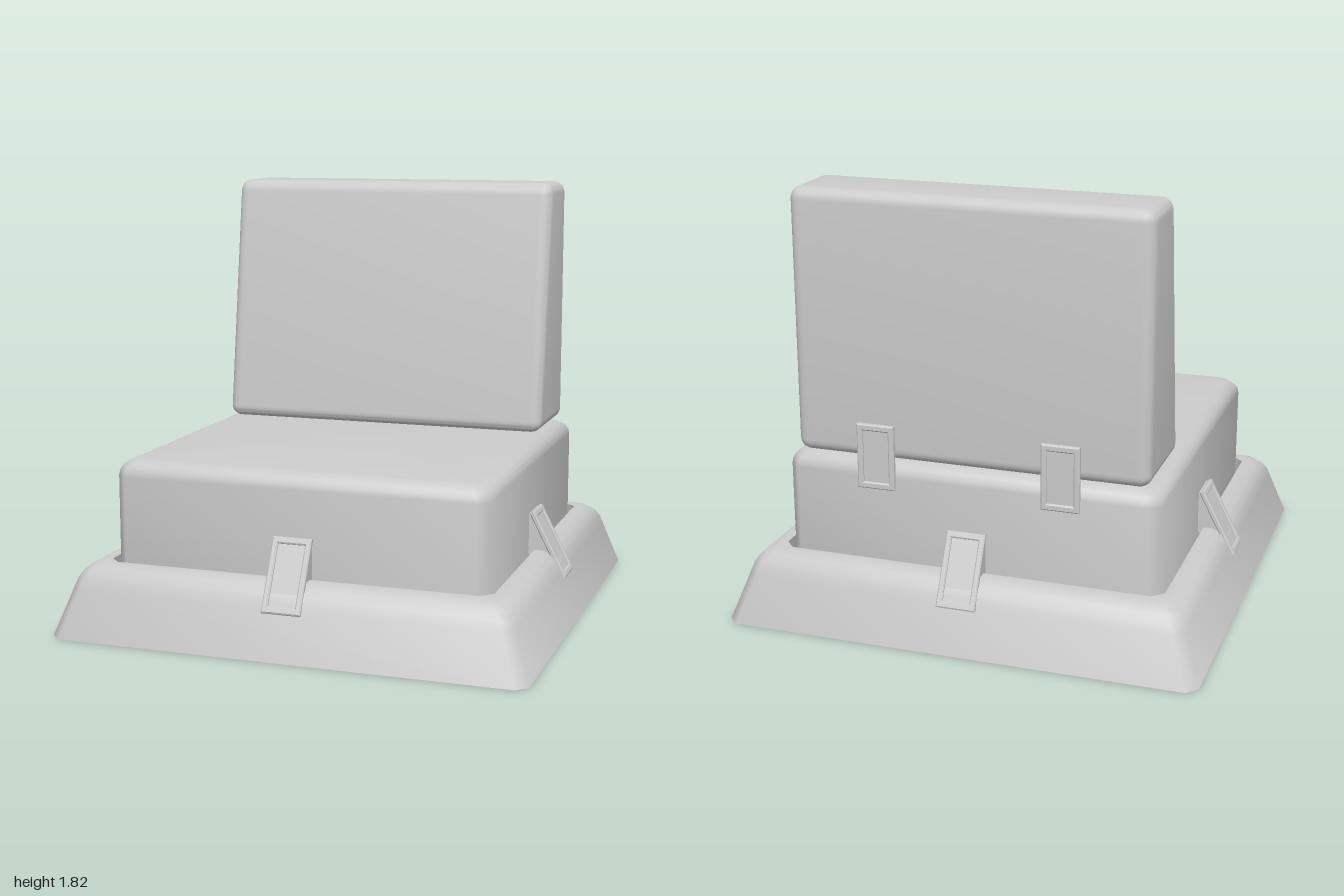
import * as THREE from 'three';
import { toCreasedNormals } from 'three/addons/utils/BufferGeometryUtils.js';
import { RoundedBoxGeometry } from 'three/addons/geometries/RoundedBoxGeometry.js';

const material = new THREE.MeshStandardMaterial({ color: 0xcccccc });

function part(name, geometry, parent) {
  const mesh = new THREE.Mesh(geometry, material);
  mesh.name = name;
  parent.add(mesh);
  return mesh;
}

// Square with cut corners: half size h, height y, corner cut c
function ring([h, y, c]) {
  const k = h - c;
  return [[h, -k], [h, k], [k, h], [-k, h], [-h, k], [-h, -k], [-k, -h], [k, -h]]
    .map(([x, z]) => new THREE.Vector3(x, y, z));
}

// Skin a stack of square rings, listed from the underside up the outside
function loftSquare(profile) {
  const rings = profile.map(ring);
  const pos = [];
  const tri = (...p) => {
    if (new THREE.Triangle(...p).getArea() > 1e-9) p.forEach(v => pos.push(v.x, v.y, v.z));
  };
  for (let i = 0; i < rings.length - 1; i++) {
    for (let j = 0; j < 8; j++) {
      const n = (j + 1) % 8;
      const a = rings[i][j], b = rings[i][n], c = rings[i + 1][n], d = rings[i + 1][j];
      tri(a, d, c);
      tri(a, c, b);
    }
  }
  const g = new THREE.BufferGeometry();
  g.setAttribute('position', new THREE.Float32BufferAttribute(pos, 3));
  return toCreasedNormals(g, 0.9);
}

// Quarter-round edge between a side wall and a top
function roundEdge(h, y, r, c, steps = 5) {
  return Array.from({ length: steps + 1 }, (_, i) => {
    const a = (i / steps) * Math.PI / 2;
    return [h - r + r * Math.cos(a), y - r + r * Math.sin(a), c];
  });
}

function rect(path, w, h) {
  path.moveTo(-w / 2, -h / 2);
  path.lineTo(w / 2, -h / 2);
  path.lineTo(w / 2, h / 2);
  path.lineTo(-w / 2, h / 2);
  path.closePath();
  return path;
}

// Clip plate: raised frame around a sunken panel, facing +z, back at z = 0
function clipPlate(w, h, depth) {
  const group = new THREE.Group();
  const bevel = 0.005;
  const frame = rect(new THREE.Shape(), w - 2 * bevel, h - 2 * bevel);
  frame.holes.push(rect(new THREE.Path(), w - 0.04, h - 0.045));
  const g = new THREE.ExtrudeGeometry(frame, {
    depth: depth - 2 * bevel, bevelEnabled: true, bevelSize: bevel, bevelThickness: bevel, bevelSegments: 1,
  });
  part('clipFrame', g.translate(0, 0, bevel), group);
  part('clipPanel', new THREE.BoxGeometry(w - 0.03, h - 0.03, depth * 0.45), group).position.z = depth * 0.3;
  return group;
}

// Slanted clip that bridges the base rim and the cushion on the +z side
function baseClip() {
  const group = new THREE.Group();
  const plate = clipPlate(0.165, 0.31, 0.022);
  plate.name = 'clipPlate';
  plate.rotation.x = -0.478;
  plate.position.set(0, 0.314, 0.864);
  group.add(plate);

  const side = new THREE.Shape([[0.78, 0.45], [0.8, 0.452], [0.935, 0.198], [0.9, 0.2], [0.78, 0.28]]
    .map(([z, y]) => new THREE.Vector2(z, y)));
  const wedge = new THREE.ExtrudeGeometry(side, { depth: 0.15, bevelEnabled: false });
  part('clipWedge', wedge.translate(0, 0, -0.075).rotateY(-Math.PI / 2), group);
  return group;
}

export function createModel() {
  const model = new THREE.Group();
  model.name = 'seat';

  // Sloping base tray with a pocket for the cushion
  part('base', loftSquare([
    [0, 0, 0], [1, 0, 0.045], [0.932, 0.2, 0.045], [0.92, 0.235, 0.045], [0.902, 0.264, 0.045],
    [0.878, 0.285, 0.045], [0.85, 0.295, 0.045], [0.815, 0.295, 0.045], [0.815, 0.1, 0.045], [0, 0.1, 0],
  ]), model);

  // Seat cushion
  part('seatCushion', loftSquare([
    [0, 0.1, 0], [0.79, 0.1, 0.045], ...roundEdge(0.79, 0.715, 0.068, 0.045), [0, 0.715, 0],
  ]), model);

  // Backrest: rounded block whose front leans back towards the top
  const back = new RoundedBoxGeometry(1.49, 1.097, 0.4, 4, 0.05);
  const p = back.attributes.position;
  for (let i = 0; i < p.count; i++) {
    if (p.getZ(i) > 0) p.setZ(i, p.getZ(i) - p.getY(i) * 0.143);
  }
  back.deleteAttribute('uv');
  part('backrest', toCreasedNormals(back, 0.6), model).position.set(0, 1.268, -0.585);

  // One clip in the middle of each side of the base
  for (let i = 0; i < 4; i++) {
    const clip = baseClip();
    clip.name = 'baseClip' + (i + 1);
    clip.rotation.y = i * Math.PI / 2;
    model.add(clip);
  }

  // Two flat clips joining the backrest to the cushion
  for (const s of [-1, 1]) {
    const clip = clipPlate(0.16, 0.275, 0.022);
    clip.name = s > 0 ? 'backClipLeft' : 'backClipRight';
    clip.rotation.y = Math.PI;
    clip.position.set(s * 0.39, 0.733, -0.782);
    model.add(clip);
  }
  return model;
}
